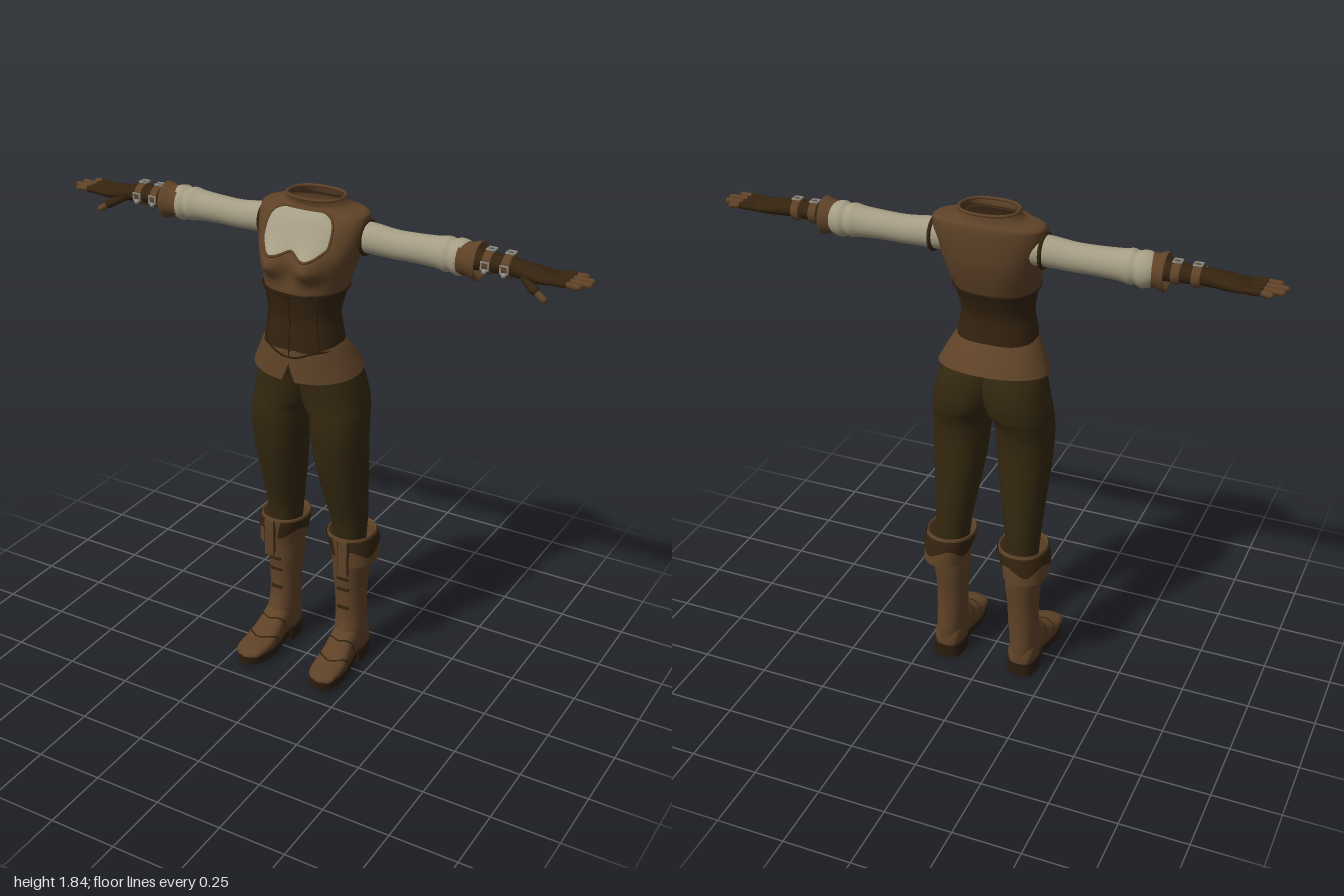
import * as THREE from 'three';
import { mergeVertices } from 'three/addons/utils/BufferGeometryUtils.js';

const mat = (name, color) => new THREE.MeshStandardMaterial({ name, color, side: THREE.DoubleSide });
const V = (x, y, z) => new THREE.Vector3(x, y, z);

// smooth interpolation through rows of numbers, t counted in rows
function spline(keys, t) {
  const n = keys.length - 1, i = Math.min(Math.floor(t), n - 1), f = t - i;
  const k = (j) => keys[Math.max(0, Math.min(n, j))];
  return keys[i].map((_, c) => {
    const a = k(i - 1)[c], b = k(i)[c], d = k(i + 1)[c], e = k(i + 2)[c];
    return b + 0.5 * f * (d - a + f * (2 * a - 5 * b + 4 * d - e + f * (3 * (b - d) + e - a)));
  });
}

// grid surface from a rule fn(u, v) -> [x, y, z]
function surf(fn, nu, nv) {
  const pos = [], idx = [];
  for (let j = 0; j <= nv; j++) for (let i = 0; i <= nu; i++) pos.push(...fn(i / nu, j / nv));
  for (let j = 0; j < nv; j++) for (let i = 0; i < nu; i++) {
    const a = j * (nu + 1) + i, b = a + 1, c = a + nu + 1, d = c + 1;
    idx.push(a, b, d, a, d, c);
  }
  const g = new THREE.BufferGeometry();
  g.setAttribute('position', new THREE.Float32BufferAttribute(pos, 3));
  g.setIndex(idx);
  const m = mergeVertices(g, 1e-5);
  m.computeVertexNormals();
  return m;
}

const TAU = Math.PI * 2;
const pw = (s, e) => Math.sign(s) * Math.pow(Math.abs(s), e);

// point on an upright section [y, xMin, xMax, zFront, zBack]
function upright(k, a, off = 0) {
  const [y, x0, x1, zf, zb] = k;
  return [(x0 + x1) / 2 + ((x1 - x0) / 2 + off) * pw(Math.sin(a), 0.93), y,
    (zf + zb) / 2 + ((zf - zb) / 2 + off) * pw(Math.cos(a), 0.93)];
}
const loftY = (keys, nu, nv) => surf((u, v) => upright(spline(keys, v * (keys.length - 1)), u * TAU), nu, nv);
// arm sections [x, yCentre, zCentre, yRadius, zRadius]
const loftX = (keys, nu, nv) => surf((u, v) => {
  const [x, y, z, ry, rz] = spline(keys, v * (keys.length - 1));
  return [x, y - ry * Math.sin(u * TAU), z + rz * Math.cos(u * TAU)];
}, nu, nv);

function mirrored(geo) {
  const g = geo.clone().scale(-1, 1, 1);
  if (!g.index) g.setIndex([...Array(g.attributes.position.count).keys()]);
  const a = g.index.array;
  for (let i = 0; i < a.length; i += 3) [a[i], a[i + 1]] = [a[i + 1], a[i]];
  return g;
}

// torso sections [y, half width, zFront, zBack]
const TORSO = [[1.30, .138, .118, -.098], [1.36, .136, .115, -.09], [1.44, .123, .11, -.085], [1.50, .132, .118, -.103],
  [1.54, .145, .123, -.12], [1.60, .163, .11, -.14], [1.66, .181, .105, -.155], [1.72, .196, .078, -.16],
  [1.77, .2, .048, -.16], [1.795, .188, .024, -.156], [1.808, .125, .008, -.146], [1.833, .102, .012, -.138]];
function torso(t, a, off = 0) {
  const [y, w, zf, zb] = spline(TORSO, t);
  const s = Math.sin(a), c = Math.cos(a);
  const x = (w + off) * pw(s, 0.85);
  let z = (zf + zb) / 2 + ((zf - zb) / 2 + off) * pw(c, 0.85);
  if (c > 0) { // bust
    const dx = (Math.abs(x) - 0.072) / 0.055, dy = (y - 1.625) / (y < 1.625 ? 0.045 : 0.06);
    z += 0.05 * Math.exp(-dx * dx - dy * dy) * Math.min(1, c * 3);
  }
  return [x, y, z];
}

export function createModel() {
  const root = new THREE.Group();
  root.name = 'outfit';
  const leather = mat('leather brown', 0x5e4227), darkLeather = mat('dark leather', 0x34230f);
  const cloth = mat('trouser cloth', 0x33270f), linen = mat('linen', 0xa59d84);
  const metal = mat('buckle metal', 0x8f8d86), sole = mat('sole', 0x2a1c0d);
  const add = (name, geo, m) => {
    const mesh = new THREE.Mesh(geo, m);
    mesh.name = name;
    root.add(mesh);
  };
  const pair = (name, geo, m) => {
    add(name + 'Left', geo, m);
    add(name + 'Right', mirrored(geo), m);
  };
  const box = (w, h, d, x, y, z) => new THREE.BoxGeometry(w, h, d).translate(x, y, z);
  const tube = (pts, r, closed = false) => new THREE.TubeGeometry(new THREE.CatmullRomCurve3(pts, closed), 48, r, 6, closed);

  // vest, with an open collar
  add('vest', surf((u, v) => torso(3.9 + v * 7.1, u * TAU), 72, 80), leather);
  add('collarRim', tube(Array.from({ length: 24 }, (_, i) => V(...torso(11, i / 24 * TAU))), 0.006, true), leather);
  // linen inset at the neckline
  const inset = (u, v, off) => {
    const w = u * 2 - 1, m = Math.abs(w);
    const t0 = 6.35 - 0.35 * Math.sin(Math.PI * m) + 0.3 * m ** 4;
    return torso(t0 + (9.5 - t0) * v, w * (0.62 - 0.24 * v * v), off);
  };
  add('neckInset', surf((u, v) => inset(u, v, 0.005), 32, 28), linen);
  const rim = [];
  for (let i = 0; i < 12; i++) rim.push(V(...inset(i / 12, 0, .004)));
  for (let i = 0; i < 8; i++) rim.push(V(...inset(1, i / 8, .004)));
  for (let i = 0; i < 8; i++) rim.push(V(...inset(1 - i / 8, 1, .004)));
  for (let i = 0; i < 8; i++) rim.push(V(...inset(0, 1 - i / 8, .004)));
  add('insetRim', new THREE.TubeGeometry(new THREE.CatmullRomCurve3(rim, true), 96, 0.005, 6, true), leather);

  // corset with a dipped front, edge piping and a centre closure
  const dip = (a) => 0.25 * Math.max(0, Math.cos(a)) ** 12;
  const corset = (v, a, off) => {
    const lo = 0.6 - 0.5 * dip(a) / 0.25, hi = 3.95 - dip(a);
    return torso(lo + (hi - lo) * v, a, off);
  };
  add('corset', surf((u, v) => corset(v, u * TAU, 0.005), 72, 24), darkLeather);
  for (const v of [0, 1]) {
    add('corsetPiping', tube(Array.from({ length: 32 }, (_, i) => V(...corset(v, i / 32 * TAU, 0.005))), 0.004, true), sole);
  }
  for (const a of [0, 0.75, -0.75]) {
    add('corsetSeam', tube([0, .25, .5, .75, 1].map((v) => V(...corset(v, a, 0.005))), 0.0025), sole);
  }

  // flared skirt of the vest, split at the front
  add('peplum', surf((u, v) => {
    const d = 1 - v, gap = 0.11 * Math.max(0, d - 0.45) / 0.55;
    const a = gap + u * (TAU - 2 * gap), c = Math.cos(a);
    const yTop = 1.348 - 0.02 * Math.max(0, c) ** 8, yLow = 1.235 - 0.02 * c;
    const e = d ** 0.85;
    return [(0.141 + 0.062 * e) * pw(Math.sin(a), .93), yTop + (yLow - yTop) * d,
      (0.014 - 0.031 * e) + (0.108 + 0.04 * e) * pw(c, .93)];
  }, 72, 12), leather);

  // trouser legs, meeting above the crotch
  pair('trouserLeg', loftY([[.48, .085, .19, -.02, -.15], [.6, .072, .2, -.008, -.152], [.7, .056, .206, .02, -.15],
    [.8, .04, .213, .05, -.146], [.9, .027, .22, .073, -.138], [1.0, .018, .222, .088, -.138], [1.06, .01, .22, .088, -.152],
    [1.09, -.012, .217, .086, -.162], [1.15, -.03, .206, .086, -.166], [1.22, -.04, .187, .09, -.152], [1.3, -.05, .145, .1, -.11],
    [1.34, -.05, .125, .1, -.08]], 36, 48), cloth);

  // boots: shaft, foot, sole and heel
  pair('bootShaft', loftY([[.06, .1, .2, -.02, -.158], [.12, .096, .204, .005, -.16], [.2, .09, .2, -.018, -.155],
    [.3, .085, .2, -.02, -.156], [.38, .077, .206, -.012, -.165], [.46, .075, .215, -.005, -.17], [.53, .07, .215, 0, -.175]], 32, 28), leather);
  const foot = [[-.16, .15, 0, .08], [-.155, .15, .03, .1], [-.13, .15, .05, .14], [-.05, .15, .053, .17], [.0, .15, .052, .15],
    [.04, .152, .055, .118], [.1, .155, .06, .088], [.15, .158, .056, .078], [.18, .16, .043, .067], [.197, .16, 0, .05]];
  const footAt = (t, a, off = 0) => {
    const [z, x, w, top] = spline(foot, t);
    const h = (top - .035) / 2;
    return [x - (w + off) * pw(Math.sin(a), .85), .035 + h + (h + off) * pw(Math.cos(a), .85), z];
  };
  pair('bootFoot', surf((u, v) => footAt(v * 9, u * TAU), 28, 36), leather);
  for (const t of [4.7, 6.1]) {
    pair('bootSeam', tube([-1.7, -1.1, -.5, 0, .5, 1.1, 1.7].map((a) => V(...footAt(t - .5 * Math.abs(a), a))), .003), darkLeather);
  }
  const plate = (pts, depth, y) => {
    const p = pts.map(([x, z]) => new THREE.Vector2(x, -z));
    const s = new THREE.Shape();
    s.moveTo(p[0].x, p[0].y);
    s.splineThru([...p.slice(1), p[0]]);
    return new THREE.ExtrudeGeometry(s, { depth, bevelEnabled: false, curveSegments: 30 }).rotateX(-Math.PI / 2).translate(0, y, 0);
  };
  pair('bootSole', plate([[.15, -.16], [.197, -.13], [.195, -.03], [.216, .08], [.205, .16], [.165, .2], [.115, .17],
    [.092, .08], [.105, -.03], [.1, -.13]], .032, .014), sole);
  pair('bootHeel', plate([[.15, -.163], [.19, -.15], [.203, -.11], [.2, -.05], [.15, -.042], [.1, -.05], [.096, -.11], [.11, -.15]], .055, 0), sole);

  // folded boot cuffs with lining band, front tab and laces
  const cuff = [[.445, .075, .24, .006, -.2], [.5, .066, .238, .006, -.194], [.55, .052, .232, .006, -.186],
    [.562, .056, .228, .002, -.182], [.545, .064, .22, -.004, -.174], [.46, .08, .21, -.008, -.17]];
  pair('bootCuff', loftY(cuff, 40, 30), leather);
  pair('cuffLining', surf((u, v) => {
    const a = .3 + u * (TAU - .6), lo = 0.95 + 0.28 * Math.sin(a * 4);
    return upright(spline(cuff, lo + (2.1 - lo) * v), a, .004);
  }, 48, 6), darkLeather);
  pair('cuffTab', box(.036, .15, .012, .157, .48, .008), leather);
  pair('cuffTabEdge', box(.046, .13, .006, .157, .485, .007), darkLeather);
  for (const y of [.25, .33, .38]) pair('bootLace', box(.045, .011, .012, .145, y, y > .35 ? -.015 : -.021), darkLeather);

  // sleeves, gathered near the cuff
  pair('sleeve', loftX([[.15, 1.713, -.064, .054, .052], [.22, 1.713, -.064, .053, .05], [.3, 1.708, -.064, .05, .046],
    [.38, 1.709, -.065, .05, .047], [.46, 1.71, -.066, .054, .051], [.495, 1.71, -.066, .06, .056], [.515, 1.709, -.066, .056, .053],
    [.535, 1.708, -.066, .063, .059], [.56, 1.709, -.066, .058, .056], [.585, 1.71, -.064, .045, .045]], 28, 50), linen);
  pair('armhole', new THREE.TorusGeometry(.057, .007, 8, 32).rotateY(Math.PI / 2).translate(.196, 1.713, -.064), darkLeather);
  // gauntlet cuffs, wrists and hands
  pair('gauntletCuff', loftX([[.545, 1.709, -.062, .058, .056], [.575, 1.709, -.062, .057, .054], [.606, 1.709, -.062, .067, .062],
    [.611, 1.709, -.062, .06, .056], [.585, 1.71, -.062, .036, .036]], 28, 20), leather);
  pair('glove', loftX([[.56, 1.713, -.06, .036, .038], [.65, 1.714, -.06, .033, .037], [.72, 1.713, -.058, .03, .035],
    [.76, 1.711, -.055, .029, .038], [.81, 1.707, -.052, .026, .049], [.86, 1.704, -.053, .019, .052], [.885, 1.705, -.054, .011, .044],
    [.893, 1.705, -.054, 0, 0]], 24, 40), darkLeather);
  for (const x of [.645, .712]) {
    pair('wristStrap', loftX([[x - .014, 1.714, -.06, .032, .035], [x - .013, 1.714, -.06, .039, .043],
      [x + .013, 1.714, -.06, .039, .043], [x + .014, 1.714, -.06, .032, .035]], 24, 9), leather);
    const ring = () => new THREE.TorusGeometry(.018, .0045, 6, 4).rotateZ(Math.PI / 4);
    pair('frontBuckle', ring().translate(x, 1.713, -.014), metal);
    pair('topBuckle', ring().rotateX(-Math.PI / 2).translate(x, 1.755, -.068), metal);
    pair('buckleStud', new THREE.SphereGeometry(.009, 10, 8).translate(x, 1.695, -.014), metal);
  }
  const finger = (a, b, r) => {
    const d = b.clone().sub(a), q = new THREE.Quaternion().setFromUnitVectors(V(0, 1, 0), d.clone().normalize());
    const m = a.clone().add(b).multiplyScalar(.5);
    return new THREE.CapsuleGeometry(r, d.length(), 5, 10).applyQuaternion(q).translate(m.x, m.y, m.z);
  };
  const fingers = [[-.092, -.107, .955], [-.066, -.075, .985], [-.04, -.041, .99], [-.015, -.008, .965]];
  for (const [z0, z1, tip] of fingers) {
    const mid = V(.92, 1.709, (z0 + z1) / 2);
    pair('fingerBase', finger(V(.85, 1.705, z0), mid, .0125), darkLeather);
    pair('fingerTip', finger(mid, V(tip, 1.708, z1), .0105), leather);
  }
  pair('thumbBase', finger(V(.775, 1.7, -.03), V(.825, 1.672, 0), .0155), darkLeather);
  pair('thumbTip', finger(V(.825, 1.672, 0), V(.86, 1.65, .006), .0115), leather);
  return root;
}
